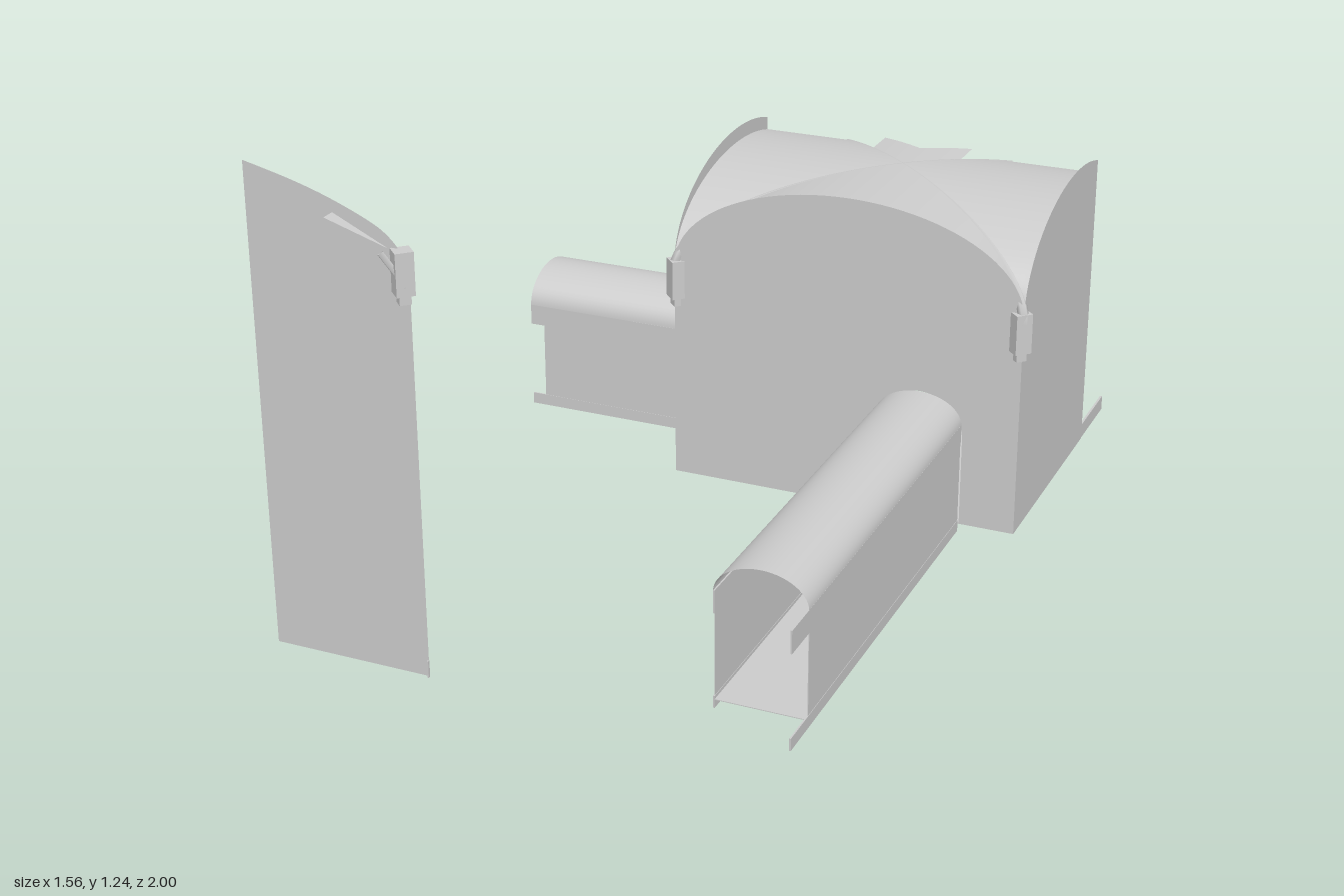
import * as THREE from 'three';

const mat = new THREE.MeshStandardMaterial({ color: 0xcccccc, side: THREE.DoubleSide });

// Chamber extents, vault centre and half spans
const X0 = -0.195, X1 = 0.755, Z0 = -0.79, Z1 = -0.155, FLOOR = 0.11;
const CX = 0.28, CZ = -0.58, HX = 0.475, HZ = 0.425;
const arc = (d, half, spring, rise) => spring + rise * Math.sqrt(Math.max(0, 1 - (d / half) ** 2));
const vaultX = x => arc(x - CX, HX, 0.7, 0.215);
const vaultZ = z => arc(z - CZ, HZ, 0.7, 0.215);

export function createModel() {
  const root = new THREE.Group();

  const add = (name, geo, parent = root) => {
    const m = new THREE.Mesh(geo, mat);
    m.name = name;
    parent.add(m);
    return m;
  };
  const box = (name, x0, x1, y0, y1, z0, z1) =>
    add(name, new THREE.BoxGeometry(x1 - x0, y1 - y0, z1 - z0))
      .position.set((x0 + x1) / 2, (y0 + y1) / 2, (z0 + z1) / 2);

  // Smooth sheet from a rule fn(u, v) -> [x, y, z]
  const sheet = (name, nu, nv, fn) => {
    const pos = [], idx = [];
    for (let i = 0; i <= nu; i++)
      for (let j = 0; j <= nv; j++) pos.push(...fn(i / nu, j / nv));
    for (let i = 0; i < nu; i++)
      for (let j = 0; j < nv; j++) {
        const a = i * (nv + 1) + j, b = a + nv + 1;
        idx.push(a, a + 1, b, b, a + 1, b + 1);
      }
    const g = new THREE.BufferGeometry();
    g.setAttribute('position', new THREE.Float32BufferAttribute(pos, 3));
    g.setIndex(idx);
    g.computeVertexNormals();
    return add(name, g);
  };

  // Door outline: straight jambs with a round head
  const doorPath = (P, c, r, y0, spring) => {
    const p = new P();
    p.moveTo(c - r, y0);
    p.lineTo(c - r, spring);
    p.absarc(c, spring, r, Math.PI, 0, true);
    p.lineTo(c + r, y0);
    return p;
  };

  // Flat wall with an elliptical head, optionally with a door
  const wallGeo = (u0, u1, c, half, door) => {
    const s = new THREE.Shape();
    s.moveTo(u0, FLOOR);
    s.lineTo(u1, FLOOR);
    for (let i = 0; i <= 48; i++) {
      // cosine spacing keeps the steep springing round
      const a0 = Math.acos(Math.min(1, (u1 - c) / half));
      const a1 = Math.acos(Math.max(-1, (u0 - c) / half));
      const a = a0 + (a1 - a0) * i / 48;
      s.lineTo(c + half * Math.cos(a), 0.705 + 0.25 * Math.sin(a));
    }
    s.closePath();
    if (door) s.holes.push(doorPath(THREE.Path, door.c, door.r, FLOOR + 0.001, door.spring));
    return new THREE.ShapeGeometry(s, 24);
  };
  const frontDoor = { c: 0.49, r: 0.118, spring: 0.345 };
  const sideDoor = { c: -0.58, r: 0.125, spring: 0.345 };

  // Chamber walls and floor; the back is open
  add('frontWall', wallGeo(X0, X1, CX, HX, frontDoor)).position.z = Z1;
  add('leftWall', wallGeo(Z0, Z1, CZ, HZ).rotateY(-Math.PI / 2)).position.x = X1;
  add('rightWall', wallGeo(Z0, Z1, CZ, HZ, sideDoor).rotateY(-Math.PI / 2)).position.x = X0;
  box('chamberFloor', X0, X1, FLOOR - 0.002, FLOOR, Z0, Z1);

  // Groin vault: front, two sides, and a broken back sector
  sheet('vaultFront', 24, 40, (u, v) => {
    const a = 0.002 + 0.998 * u, x = CX + a * HX * Math.sin((v - 0.5) * Math.PI);
    return [x, vaultX(x), CZ + a * HZ];
  });
  for (const s of [-1, 1])
    sheet(s > 0 ? 'vaultLeft' : 'vaultRight', 24, 40, (u, v) => {
      const a = 0.002 + 0.998 * u;
      const lo = Math.max(-1, (Z0 - CZ) / (a * HZ));
      const b = lo + (1 - lo) * Math.sin(v * Math.PI / 2);
      const z = CZ + a * b * HZ;
      return [CX + s * a * HX, vaultZ(z), z];
    });
  sheet('vaultBrokenEdge', 24, 4, (u, v) => {
    const d = (u - 0.5) * 0.25, k = Math.abs(d);
    const near = CZ - HZ * k / HX, far = -0.72 - 0.07 * k / 0.125;
    return [CX + d, vaultX(CX + d), near + (far - near) * v];
  });

  // Diagonal ribs under the vault creases
  for (const s of [-1, 1]) {
    const pts = [];
    for (let i = 0; i <= 30; i++) {
      const t = Math.cos(i / 30 * Math.PI * 2 / 3);
      pts.push(new THREE.Vector3(CX + s * t * HX, 0.692 + 0.21 * Math.sqrt(1 - t * t), CZ + t * HZ));
    }
    add('vaultRib', new THREE.TubeGeometry(new THREE.CatmullRomCurve3(pts), 48, 0.014, 6));
  }

  // Corner brackets turned by 45 degrees
  const bracket = (x, y, z) => {
    const g = new THREE.Group();
    g.name = 'cornerBracket';
    g.position.set(x, y, z);
    g.rotation.y = Math.PI / 4;
    add('bracketBlock', new THREE.BoxGeometry(0.044, 0.105, 0.044), g).position.y = 0.075;
    add('bracketFoot', new THREE.BoxGeometry(0.028, 0.025, 0.028), g).position.y = 0.0125;
    root.add(g);
  };
  bracket(-0.19, 0.59, -0.162);
  bracket(0.745, 0.59, -0.162);
  bracket(-0.373, 0.96, 0.913);

  // Door surrounds on the inside faces
  const surround = d => {
    const s = doorPath(THREE.Shape, d.c, d.r + 0.022, FLOOR, d.spring);
    s.lineTo(d.c + d.r, FLOOR);
    s.lineTo(d.c + d.r, d.spring);
    s.absarc(d.c, d.spring, d.r, 0, Math.PI, false);
    s.lineTo(d.c - d.r, FLOOR);
    s.closePath();
    return new THREE.ExtrudeGeometry(s, { depth: 0.022, bevelEnabled: false, curveSegments: 20 });
  };
  add('frontDoorSurround', surround(frontDoor)).position.z = Z1 - 0.022;
  add('sideDoorSurround', surround(sideDoor).rotateY(-Math.PI / 2)).position.x = X0 + 0.022;

  // Skirting strips; the left one runs on past the open back
  const S = 0.01, SY = 0.15;
  box('skirtingLeft', X1 - 0.006, X1, FLOOR, SY, -1, Z1);
  box('skirtingFrontA', X0, 0.35, FLOOR, SY, Z1 - S, Z1);
  box('skirtingFrontB', 0.63, X1, FLOOR, SY, Z1 - S, Z1);
  box('skirtingRightA', X0, X0 + S, FLOOR, SY, -0.433, Z1);
  box('skirtingRightB', X0, X0 + S, FLOOR, SY, Z0, -0.727);

  // Front passage
  const barrel = (name, c, half, top, place) => sheet(name, 28, 1, (u, v) => {
    const a = Math.PI * u;
    return place(c + half * Math.cos(a), 0.385 + (top - 0.385) * Math.sin(a), v);
  });
  barrel('frontPassageVault', 0.49, 0.115, 0.462, (w, y, v) => [w, y, Z1 + v * (0.9 - Z1)]);
  box('frontPassageFloor', 0.376, 0.604, FLOOR - 0.002, FLOOR, Z1, 0.9);
  for (const [x, end] of [[0.376, 0.9], [0.602, 1]]) {
    box('frontPassageWall', x, x + 0.002, 0.087, 0.385, Z1, 0.895);
    box('frontPassageUpperStrip', x - 0.001, x + 0.003, 0.33, 0.388, Z1, end);
    box('frontPassageLowerStrip', x - 0.001, x + 0.003, 0.087, 0.118, Z1, end);
  }

  // Side passage
  barrel('sidePassageVault', -0.58, 0.13, 0.48, (w, y, v) => [X0 + v * (-0.78 - X0), y, w]);
  box('sidePassageFloor', -0.74, X0, FLOOR - 0.002, FLOOR, -0.709, -0.451);
  for (const z of [-0.709, -0.453]) {
    box('sidePassageWall', -0.74, X0, 0.083, 0.385, z, z + 0.002);
    box('sidePassageUpperStrip', -0.78, X0, 0.33, 0.388, z - 0.001, z + 0.003);
    box('sidePassageLowerStrip', -0.78, X0, 0.083, 0.115, z - 0.001, z + 0.003);
  }

  // Detached wall panel with a partial arched head
  const panel = new THREE.Shape();
  panel.moveTo(-0.78, 0.003);
  panel.lineTo(-0.358, 0.003);
  panel.lineTo(-0.358, 1.03);
  panel.splineThru([[-0.375, 1.075], [-0.41, 1.115], [-0.46, 1.145], [-0.56, 1.185], [-0.66, 1.215], [-0.78, 1.243]]
    .map(p => new THREE.Vector2(...p)));
  panel.closePath();
  add('detachedPanel', new THREE.ShapeGeometry(panel, 32)).position.z = 0.91;
  box('panelSkirtingEnd', -0.362, -0.358, 0, 0.045, 0.908, 0.914);

  // Vault fragment and rib stub above the panel bracket
  const shard = new THREE.BufferGeometry().setFromPoints([
    new THREE.Vector3(-0.55, 1.15, 0.905), new THREE.Vector3(-0.55, 1.15, 0.947), new THREE.Vector3(-0.4, 1.08, 0.908)]);
  shard.computeVertexNormals();
  add('vaultFragment', shard);
  const stub = new THREE.LineCurve3(new THREE.Vector3(-0.36, 1.005, 0.922), new THREE.Vector3(-0.412, 1.083, 0.94));
  add('ribStub', new THREE.TubeGeometry(stub, 1, 0.009, 4));

  return root;
}
